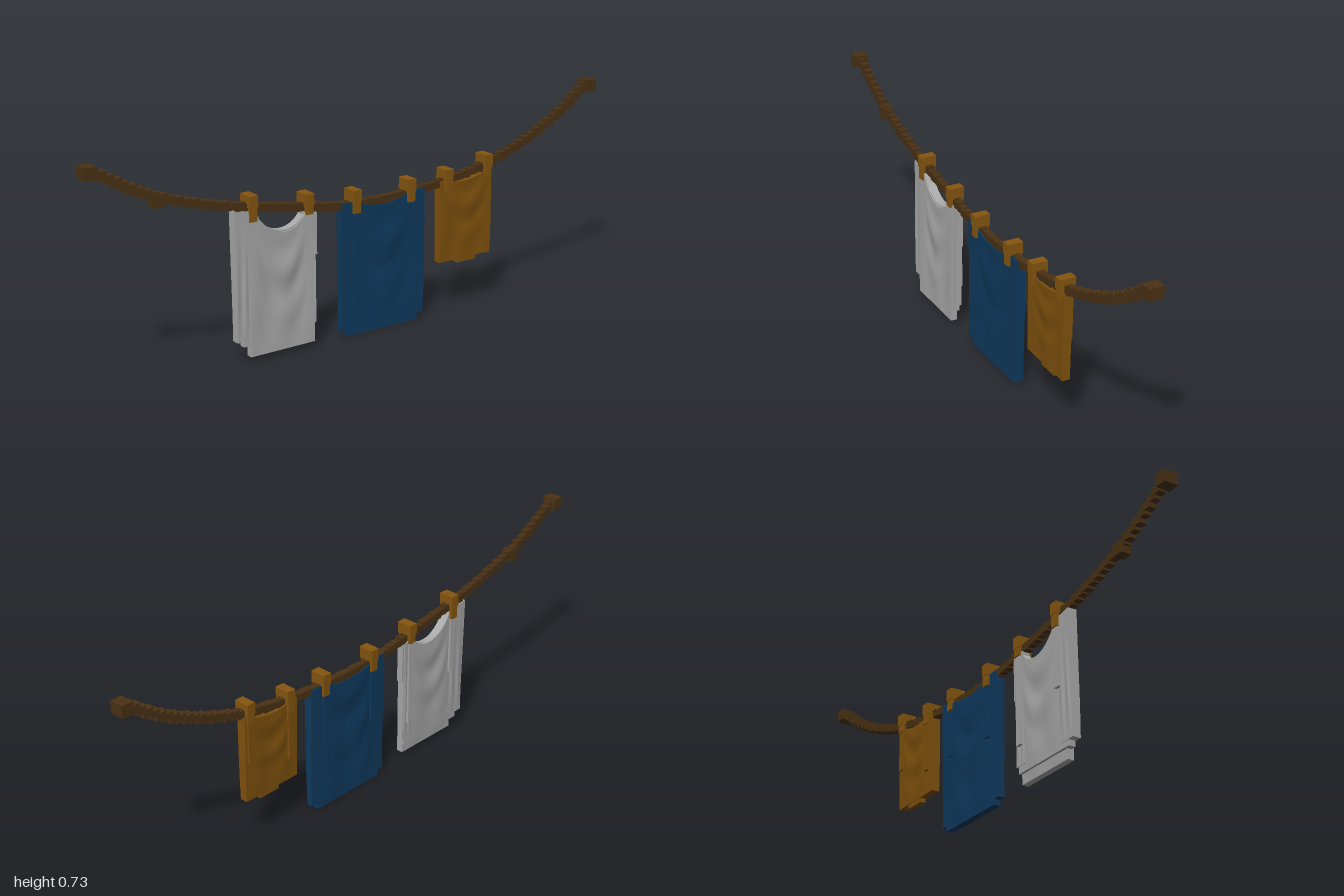
import * as THREE from 'three';

const paint = (name, color) => {
  const m = new THREE.MeshStandardMaterial({ color });
  m.name = name;
  return m;
};

export function createModel() {
  const rope = paint('rope brown', 0x4a3114);
  const wood = paint('peg ochre', 0x86560f);
  const grey = paint('linen grey', 0xa9a9a9);
  const blue = paint('deep blue', 0x0f3a5e);
  const ochre = paint('ochre cloth', 0x80520d);

  const root = new THREE.Group();
  root.name = 'clothesline';

  const box = (parent, name, mat, [w, h, d], [x, y, z]) => {
    const m = new THREE.Mesh(new THREE.BoxGeometry(w, h, d), mat);
    m.name = name;
    m.position.set(x, y, z);
    parent.add(m);
    return m;
  };

  // Sagging rope made of short upright blocks
  const curve = new THREE.CatmullRomCurve3([
    [-0.98, 0.71], [-0.8, 0.612], [-0.6, 0.546], [-0.43, 0.508], [-0.22, 0.472],
    [-0.1, 0.453], [0.05, 0.446], [0.2, 0.45], [0.34, 0.462], [0.52, 0.492],
    [0.7, 0.55], [0.85, 0.622], [0.98, 0.71],
  ].map(([x, y]) => new THREE.Vector3(x, y, 0)));
  const line = new THREE.Group();
  line.name = 'rope';
  root.add(line);
  const count = 72;
  curve.getSpacedPoints(count).forEach((p, i) => {
    const s = i % 2 ? 0.026 : 0.023;
    box(line, 'ropeSegment', rope, [0.036, s, s], [p.x * 0.985, p.y, 0]);
  });
  for (const side of [-1, 1]) box(line, 'ropeEnd', rope, [0.04, 0.04, 0.05], [side * 0.98, 0.71, 0]);
  box(line, 'knot', rope, [0.04, 0.042, 0.036], [-0.755, 0.588, 0]);

  // Cloth panel: a thick sheet with a dipped top edge and U-shaped folds.
  // front and back hold z at [top, bottom]; dip is [x0, x1, depth].
  function panel(parent, name, mat, { x, top, bottom, front, back, dip, fold = 0.004 }) {
    const g = new THREE.BoxGeometry(1, 1, 1, 28, 36, 1);
    const p = g.attributes.position;
    for (let i = 0; i < p.count; i++) {
      const u = p.getX(i) + 0.5, v = 0.5 - p.getY(i);
      const px = THREE.MathUtils.lerp(x[0], x[1], u);
      let yTop = THREE.MathUtils.lerp(top[0], top[1], u);
      let s = 0;
      if (dip) {
        s = THREE.MathUtils.clamp((px - dip[0]) / (dip[1] - dip[0]), 0, 1);
        s = 4 * s * (1 - s);
        yTop -= dip[2] * Math.pow(s, 0.7);
      }
      const ends = p.getZ(i) > 0 ? front : back;
      const fade = Math.sin(Math.PI * v);
      const swag = Math.sin(15 * (v - 0.22 * s)) * s * (1 - v);
      const pleat = Math.sin(u * 13 + v * 1.5) * 0.6 * v;
      const z = THREE.MathUtils.lerp(ends[0], ends[1], v) + fold * fade * (swag * 1.3 + pleat);
      p.setXYZ(i, px, THREE.MathUtils.lerp(yTop, bottom, v), z);
    }
    g.computeVertexNormals();
    const m = new THREE.Mesh(g, mat);
    m.name = name;
    parent.add(m);
  }

  const group = (name) => {
    const g = new THREE.Group();
    g.name = name;
    root.add(g);
    return g;
  };

  // Grey shirt: long middle panel with shorter sides
  const shirt = group('greyShirt');
  const neck = [-0.415, -0.235, 0.062];
  panel(shirt, 'shirtMiddle', grey, {
    x: [-0.45, -0.205], top: [0.495, 0.458], bottom: 0.02,
    front: [0.018, 0.026], back: [-0.013, 0.004], dip: [-0.415, -0.235, 0.065], fold: 0.006,
  });
  panel(shirt, 'shirtBody', grey, {
    x: [-0.47, -0.202], top: [0.5, 0.46], bottom: 0.055,
    front: [0.014, 0.018], back: [-0.015, -0.006], dip: neck, fold: 0.005,
  });
  panel(shirt, 'shirtRightSide', grey, {
    x: [-0.495, -0.43], top: [0.507, 0.497], bottom: 0.075,
    front: [0.016, 0.02], back: [-0.016, -0.008],
  });
  panel(shirt, 'shirtLeftSide', grey, {
    x: [-0.24, -0.192], top: [0.465, 0.455], bottom: 0.08,
    front: [0.012, 0.014], back: [-0.016, -0.008],
  });
  box(shirt, 'sleeveEdge', grey, [0.02, 0.14, 0.022], [-0.194, 0.38, 0]);
  box(shirt, 'backFold', grey, [0.024, 0.22, 0.012], [-0.43, 0.37, -0.014]);
  box(shirt, 'backFold', grey, [0.024, 0.31, 0.012], [-0.22, 0.3, -0.014]);

  // Blue towel: two overlapping layers
  const towel = group('blueTowel');
  panel(towel, 'towelOuter', blue, {
    x: [-0.09, 0.247], top: [0.46, 0.46], bottom: 0.02,
    front: [0.016, 0.012], back: [-0.016, -0.009], dip: [-0.03, 0.185, 0.026], fold: 0.005,
  });
  panel(towel, 'towelInner', blue, {
    x: [-0.065, 0.22], top: [0.43, 0.43], bottom: 0,
    front: [0.012, 0.014], back: [-0.012, -0.011], dip: [-0.03, 0.185, 0.02], fold: 0.005,
  });
  box(towel, 'backFold', blue, [0.024, 0.2, 0.012], [-0.035, 0.34, -0.014]);
  box(towel, 'backFold', blue, [0.024, 0.19, 0.012], [0.185, 0.35, -0.014]);

  // Small ochre cloth with a little tab below its hem
  const cloth = group('ochreCloth');
  panel(cloth, 'clothBody', ochre, {
    x: [0.314, 0.535], top: [0.468, 0.488], bottom: 0.18,
    front: [0.016, 0.015], back: [-0.018, -0.012], dip: [0.345, 0.515, 0.022], fold: 0.004,
  });
  panel(cloth, 'clothTab', ochre, {
    x: [0.395, 0.475], top: [0.25, 0.25], bottom: 0.165,
    front: [0.01, 0.01], back: [-0.01, -0.01], fold: 0.001,
  });
  box(cloth, 'backFold', ochre, [0.022, 0.2, 0.01], [0.345, 0.36, -0.017]);
  box(cloth, 'backFold', ochre, [0.022, 0.16, 0.01], [0.515, 0.4, -0.017]);

  // Pegs straddling the rope: a head with a leg on each side
  const pegs = [
    [-0.43, 0.55, 0.085], [-0.22, 0.52, 0.068], [-0.035, 0.5, 0.078],
    [0.187, 0.5, 0.078], [0.345, 0.507, 0.075], [0.515, 0.532, 0.068],
  ];
  for (const [x, top, h] of pegs) {
    const peg = group('peg');
    peg.position.set(x, top, 0);
    box(peg, 'pegHead', wood, [0.032, 0.04, 0.054], [0, -0.02, 0]);
    for (const side of [-1, 1]) {
      box(peg, 'pegLeg', wood, [0.027, h - 0.03, 0.012], [0, -(h + 0.03) / 2, side * 0.019]);
    }
  }
  return root;
}
